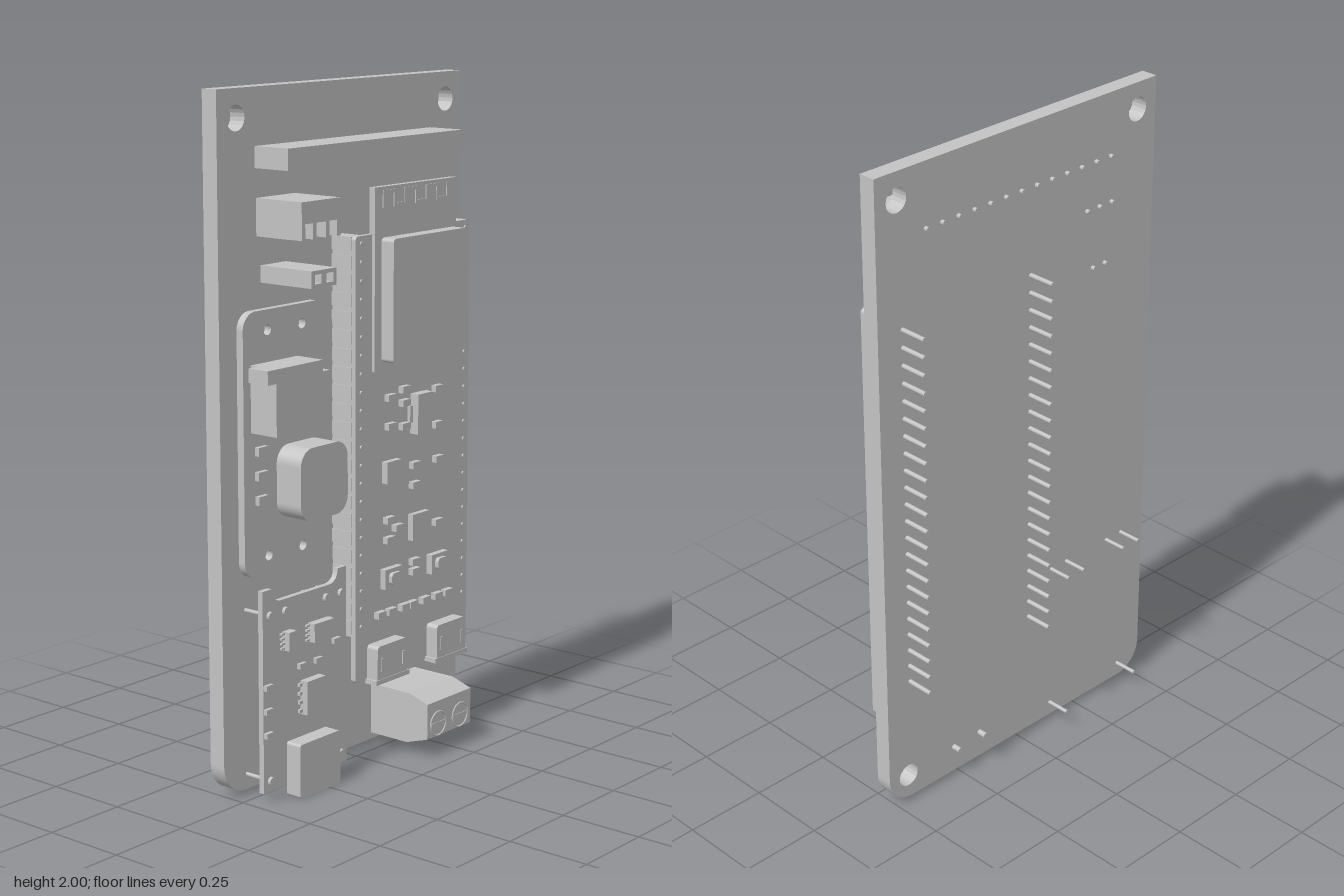
import * as THREE from 'three';

const lightGrey = new THREE.MeshStandardMaterial({ color: 0xc3c3c3 });
lightGrey.name = 'lightGrey';

export function createModel() {
  const model = new THREE.Group();
  model.name = 'circuitBoardAssembly';

  const add = (name, geo, parent = model) => {
    const m = new THREE.Mesh(geo, lightGrey);
    m.name = name;
    parent.add(m);
    return m;
  };
  // Box from its limits
  const box = (name, x0, x1, y0, y1, z0, z1, parent) => {
    const m = add(name, new THREE.BoxGeometry(x1 - x0, y1 - y0, z1 - z0), parent);
    m.position.set((x0 + x1) / 2, (y0 + y1) / 2, (z0 + z1) / 2);
    return m;
  };
  // Box standing on a surface, from centre and size
  const chip = (name, x, y, w, h, z0, d, parent) =>
    box(name, x - w / 2, x + w / 2, y - h / 2, y + h / 2, z0, z0 + d, parent);
  // Round pin along z
  const pin = (name, x, y, z0, z1, r, parent) => {
    const m = add(name, new THREE.CylinderGeometry(r, r, z1 - z0, 10).rotateX(Math.PI / 2), parent);
    m.position.set(x, y, (z0 + z1) / 2);
    return m;
  };
  // Rectangle with separate top and bottom corner radii
  const rounded = (x0, x1, y0, y1, rt, rb) => {
    const s = new THREE.Shape(), H = Math.PI / 2;
    const corner = (x, y, r, a) => (r ? s.absarc(x, y, r, a, a + H, false) : s.lineTo(x, y));
    s.moveTo(x0 + rb, y0);
    corner(x1 - rb, y0 + rb, rb, -H);
    corner(x1 - rt, y1 - rt, rt, 0);
    corner(x0 + rt, y1 - rt, rt, H);
    corner(x0 + rb, y0 + rb, rb, 2 * H);
    return s;
  };
  const hole = (s, x, y, r) => s.holes.push(new THREE.Path().absarc(x, y, r, 0, Math.PI * 2, true));
  const plate = (name, shape, z0, z1, parent) => {
    const g = new THREE.ExtrudeGeometry(shape, { depth: z1 - z0, bevelEnabled: false, curveSegments: 10 });
    return add(name, g.translate(0, 0, z0), parent);
  };
  const section = (name) => {
    const g = new THREE.Group();
    g.name = name;
    model.add(g);
    return g;
  };

  // Main board with three mounting holes
  const base = rounded(-0.535, 0.532, 0.015, 2, 0, 0.09);
  for (const [x, y] of [[-0.46, 1.92], [0.457, 1.92], [0.457, 0.093]]) hole(base, x, y, 0.036);
  plate('mainBoard', base, -0.09, -0.038);

  // Long socket strip along the top
  box('socketStrip', -0.385, 0.385, 1.78, 1.84, -0.04, 0.083);
  for (let i = 0; i < 13; i++) pin('stripPin', 0.355 - i * 0.059, 1.81, -0.102, -0.08, 0.007);

  // Three-way plug
  const plug = section('threeWayPlug');
  box('plugBody', -0.39, -0.23, 1.64, 1.7, -0.03, 0.135, plug);
  box('plugFloor', -0.39, -0.23, 1.595, 1.64, -0.03, 0.09, plug);
  for (const x of [-0.383, -0.337, -0.283, -0.237]) chip('plugRib', x, 1.618, 0.014, 0.045, 0.09, 0.045, plug);
  for (const x of [-0.36, -0.31, -0.26]) pin('plugPin', x, 1.67, -0.102, -0.08, 0.007, plug);

  // Two-way plug: a shell with two openings
  const small = section('twoWayPlug');
  const face = rounded(-0.365, -0.26, 1.464, 1.512, 0, 0);
  for (const x of [-0.337, -0.288]) {
    const p = new THREE.Path();
    p.moveTo(x - 0.014, 1.475).lineTo(x - 0.014, 1.501).lineTo(x + 0.014, 1.501).lineTo(x + 0.014, 1.475).closePath();
    face.holes.push(p);
    pin('plugPin', x, 1.488, -0.102, -0.08, 0.007, small);
  }
  plate('plugShell', face, 0.1, 0.147, small);
  box('plugBody', -0.365, -0.26, 1.464, 1.512, -0.04, 0.1, small);

  // Power converter board
  const conv = section('powerConverter');
  const convBoard = rounded(-0.465, -0.115, 0.638, 1.392, 0.05, 0.05);
  for (const x of [-0.365, -0.22]) for (const y of [0.693, 1.335]) hole(convBoard, x, y, 0.015);
  plate('converterBoard', convBoard, -0.038, -0.015, conv);
  plate('inductor', rounded(-0.33, -0.128, 0.79, 1.0, 0.05, 0.05), -0.015, 0.075, conv);
  box('outputSocket', -0.435, -0.24, 1.055, 1.245, -0.015, 0.08, conv);
  box('socketLip', -0.47, -0.435, 1.205, 1.245, 0.01, 0.08, conv);
  box('converterChip', -0.19, -0.14, 1.11, 1.195, -0.015, 0.02, conv);
  for (const y of [0.86, 0.93, 1.0]) chip('capacitor', -0.4, y, 0.04, 0.025, -0.015, 0.015, conv);

  // Charger board, raised on pins, with a curved notch on top
  const charger = section('charger');
  const cs = new THREE.Shape();
  cs.moveTo(-0.468, 0.028).lineTo(-0.108, 0.028).lineTo(-0.108, 0.62).lineTo(-0.145, 0.62);
  cs.quadraticCurveTo(-0.15, 0.58, -0.185, 0.58);
  cs.lineTo(-0.39, 0.58).quadraticCurveTo(-0.425, 0.58, -0.43, 0.62);
  cs.lineTo(-0.468, 0.62).closePath();
  plate('chargerBoard', cs, 0.035, 0.052, charger);
  plate('chargerPort', rounded(-0.375, -0.2, 0, 0.16, 0.008, 0.008), 0.056, 0.107, charger);
  box('portBase', -0.36, -0.215, 0.04, 0.15, 0.05, 0.057, charger);
  const chargerPins = [[-0.44, 0.06], [-0.135, 0.06]];
  for (const x of [-0.44, -0.375, -0.2, -0.135]) chargerPins.push([x, 0.545]);
  for (const [x, y] of chargerPins) {
    pin('chargerPin', x, y, -0.165, 0.04, 0.006, charger);
    pin('solderJoint', x, y, 0.05, 0.062, 0.013, charger);
  }
  for (const [x, y, w, h] of [[-0.27, 0.275, 0.08, 0.1], [-0.235, 0.46, 0.085, 0.055], [-0.37, 0.46, 0.03, 0.055]]) {
    chip('chargerChip', x, y, w, h, 0.05, 0.028, charger);
    for (let i = 0; i < 4; i++) {
      chip('chipLegs', x, y + (i - 1.5) * h * 0.26, w + 0.025, h * 0.1, 0.05, 0.01, charger);
    }
  }
  for (const [x, y] of [[-0.452, 0.2], [-0.452, 0.27], [-0.452, 0.34], [-0.31, 0.37], [-0.24, 0.37], [-0.16, 0.41]]) {
    chip('chargerResistor', x, y, 0.028, 0.016, 0.05, 0.014, charger);
  }

  // Controller board on two pin headers
  const ctl = section('controller');
  plate('controllerBoard', rounded(-0.063, 0.467, 0.25, 1.567, 0.012, 0.012), 0.033, 0.05, ctl);
  for (const x of [-0.039, 0.444]) {
    box('pinHeader', x - 0.022, x + 0.022, 0.39, 1.565, -0.038, 0.034, ctl);
    for (let i = 0; i < 22; i++) {
      const y = 0.42 + i * 0.0536;
      chip('headerBlock', x, y, 0.05, 0.04, -0.038, 0.072, ctl);
      pin('headerPin', x, y, -0.176, -0.03, 0.007, ctl);
      pin('headerTip', x, y, 0.045, 0.055, 0.006, ctl);
    }
  }

  // Radio module: carrier, shield and zigzag antenna
  box('radioCarrier', 0.01, 0.388, 1.17, 1.7, 0.04, 0.06, ctl);
  plate('radioShield', rounded(0.04, 0.382, 1.195, 1.555, 0.012, 0.012), 0.06, 0.105, ctl);
  for (let i = 0; i < 7; i++) {
    const x = 0.05 + i * 0.049;
    chip('antennaRun', x, 1.665, 0.01, 0.05, 0.06, 0.003, ctl);
    if (i < 6) chip('antennaLink', x + 0.0245, i % 2 ? 1.645 : 1.685, 0.05, 0.01, 0.06, 0.003, ctl);
  }

  // Controller chips
  for (const [x, y, w, h, d] of [[0.22, 1.02, 0.065, 0.12, 0.03], [0.09, 0.865, 0.065, 0.065, 0.02], [0.22, 0.677, 0.08, 0.08, 0.018]]) {
    chip('controllerChip', x, y, w, h, 0.05, d, ctl);
  }
  for (const y of [0.97, 1.02, 1.07]) chip('regulatorLeg', 0.255, y, 0.03, 0.018, 0.05, 0.01, ctl);
  chip('regulatorTab', 0.185, 1.02, 0.02, 0.05, 0.05, 0.01, ctl);

  // Small surface parts
  const bits = [
    [0.085, 1.085], [0.085, 1.0], [0.15, 1.1], [0.15, 1.06], [0.15, 0.99], [0.305, 1.08], [0.305, 0.97],
    [0.2, 0.865], [0.31, 0.865], [0.2, 0.805], [0.08, 0.72], [0.08, 0.66], [0.12, 0.69], [0.31, 0.67],
    [0.04, 0.44], [0.09, 0.44], [0.15, 0.44], [0.19, 0.44], [0.25, 0.44], [0.31, 0.44], [0.36, 0.44],
    [0.2, 0.54], [0.2, 0.57],
  ];
  for (const [x, y] of bits) chip('surfacePart', x, y, 0.036, 0.02, 0.05, 0.018, ctl);

  // Two push buttons and two cable ports
  for (const x of [0.09, 0.31]) {
    chip('buttonBase', x, 0.545, 0.08, 0.06, 0.05, 0.02, ctl);
    plate('buttonCap', rounded(x - 0.024, x + 0.024, 0.527, 0.563, 0.012, 0.012), 0.07, 0.082, ctl);
  }
  for (const x of [0.06, 0.342]) {
    plate('cablePort', rounded(x - 0.07, x + 0.07, 0.255, 0.358, 0.012, 0), 0.05, 0.09, ctl);
    box('portFlare', x - 0.078, x + 0.078, 0.242, 0.256, 0.048, 0.092, ctl);
    for (const s of [-0.05, 0.05]) chip('portTab', x + s, 0.3, 0.012, 0.04, 0.09, 0.003, ctl);
  }

  // Screw terminal with sloped front edges
  const term = section('screwTerminal');
  const prof = new THREE.Shape();
  prof.moveTo(0.038, 0.035).lineTo(0.038, 0.19).lineTo(-0.11, 0.19).lineTo(-0.178, 0.168);
  prof.lineTo(-0.178, 0.06).lineTo(-0.1, 0.035).closePath();
  const body = new THREE.ExtrudeGeometry(prof, { depth: 0.21, bevelEnabled: false });
  add('terminalBody', body.rotateY(Math.PI / 2).translate(0.115, 0, 0), term);
  for (const x of [0.167, 0.273]) {
    const ring = add('screwRim', new THREE.TorusGeometry(0.037, 0.003, 6, 24), term);
    ring.position.set(x, 0.098, 0.178);
    chip('screwSlot', x, 0.098, 0.066, 0.01, 0.176, 0.004, term);
    pin('terminalPin', x, 0.1, -0.118, -0.08, 0.009, term);
  }
  return model;
}
